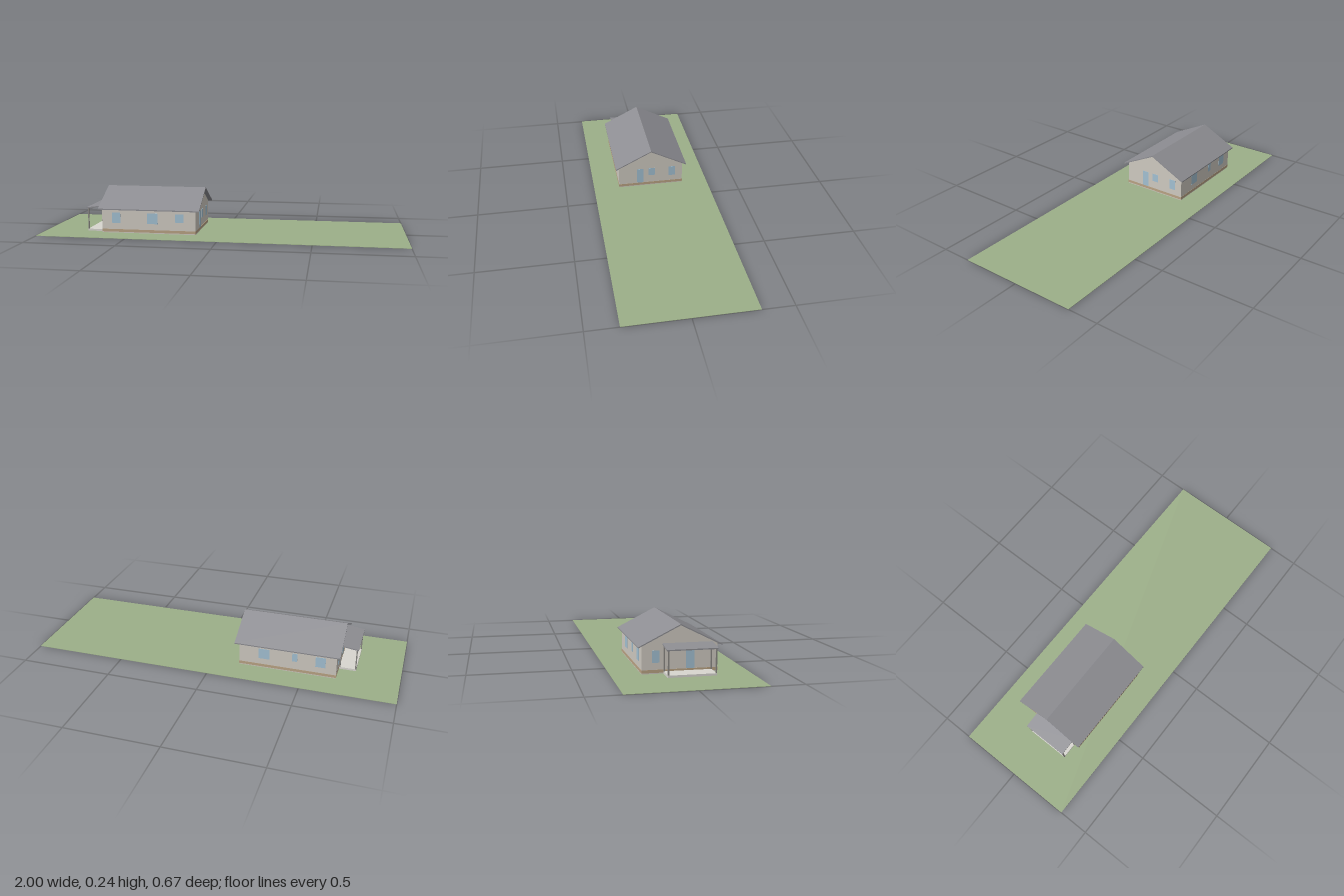
import * as THREE from 'three';

const mat = (name, color) => {
  const m = new THREE.MeshStandardMaterial({ color });
  m.name = name;
  return m;
};

export function createModel() {
  const model = new THREE.Group();
  model.name = 'houseOnPlot';
  const grass = mat('grass green', 0x9caf88);
  const wall = mat('wall beige', 0xcfcac1);
  const trim = mat('plinth tan', 0xbaa384);
  const roof = mat('roof grey', 0x8e8e93);
  const glass = mat('window blue', 0xa3c1d3);
  const post = mat('post grey', 0x8a8884);
  const floor = mat('porch floor', 0xd8d6d0);

  const add = (name, geometry, material, parent = model) => {
    const mesh = new THREE.Mesh(geometry, material);
    mesh.name = name;
    parent.add(mesh);
    return mesh;
  };
  // Box given by its lower and upper limits on each axis
  const box = (name, [x0, x1], [y0, y1], [z0, z1], material, parent) => {
    const mesh = add(name, new THREE.BoxGeometry(x1 - x0, y1 - y0, z1 - z0), material, parent);
    mesh.position.set((x0 + x1) / 2, (y0 + y1) / 2, (z0 + z1) / 2);
    return mesh;
  };
  // Cross-section in z and y, extruded along x
  const alongX = (points, x0, x1) => {
    const shape = new THREE.Shape(points.map(([z, y]) => new THREE.Vector2(-z, y)));
    return new THREE.ExtrudeGeometry(shape, { depth: x1 - x0, bevelEnabled: false })
      .rotateY(Math.PI / 2).translate(x0, 0, 0);
  };

  // Plot of land
  box('ground', [-1, 1], [0, 0.002], [-0.334, 0.334], grass);

  // House body with gables
  const X0 = -0.67, X1 = -0.14, Z = 0.187;
  const house = new THREE.Group();
  house.name = 'house';
  model.add(house);
  add('walls', alongX([[-Z, 0.002], [Z, 0.002], [Z, 0.141], [0, 0.234], [-Z, 0.141]], X0, X1), wall, house);
  box('plinthBand', [X0 - 0.001, X1 + 0.001], [0.007, 0.022], [-Z - 0.001, Z + 0.001], trim, house);

  // Gable roof with overhanging eaves
  add('roof', alongX([[-0.206, 0.132], [0, 0.235], [0.206, 0.132], [0.206, 0.138],
    [0, 0.241], [-0.206, 0.138]], -0.688, -0.117), roof, house);

  // Windows on the long sides: from x, to x, sill height
  const T = 0.0015, top = 0.115;
  const sides = {
    front: [Z, [[-0.612, -0.565, 0.056], [-0.412, -0.352, 0.056], [-0.254, -0.206, 0.068]]],
    back: [-Z, [[-0.308, -0.248, 0.056], [-0.46, -0.432, 0.068], [-0.612, -0.558, 0.056]]],
  };
  for (const [side, [z, list]] of Object.entries(sides))
    for (const [a, b, sill] of list)
      box(side + 'Window', [a, b], [sill, top], [z - T, z + T], glass, house);

  // Doors and windows on the gable ends: from z, to z, sill height
  const ends = {
    gable: [X1, [[0.042, 0.081, 0.023], [-0.027, 0.012, 0.068], [-0.146, -0.107, 0.056]]],
    porchSide: [X0, [[0.03, 0.072, 0.023], [-0.135, -0.1, 0.056]]],
  };
  for (const [side, [x, list]] of Object.entries(ends))
    for (const [a, b, sill] of list)
      box(side + (sill < 0.03 ? 'Door' : 'Window'), [x - T, x + T], [sill, top], [a, b], glass, house);

  // Porch: floor slab, four posts, lean-to roof
  const porch = new THREE.Group();
  porch.name = 'porch';
  model.add(porch);
  box('porchFloor', [-0.762, X0], [0.002, 0.013], [-0.08, 0.158], floor, porch);
  for (const x of [-0.759, -0.675])
    for (const z of [-0.077, 0.155])
      box('porchPost', [x - 0.003, x + 0.003], [0.013, x < -0.7 ? 0.132 : 0.143],
        [z - 0.003, z + 0.003], post, porch);
  const slope = new THREE.Shape([[-0.768, 0.13], [X0, 0.143], [X0, 0.149], [-0.768, 0.136]]
    .map(([x, y]) => new THREE.Vector2(x, y)));
  add('porchRoof', new THREE.ExtrudeGeometry(slope, { depth: 0.248, bevelEnabled: false })
    .translate(0, 0, -0.086), roof, porch);

  return model;
}
